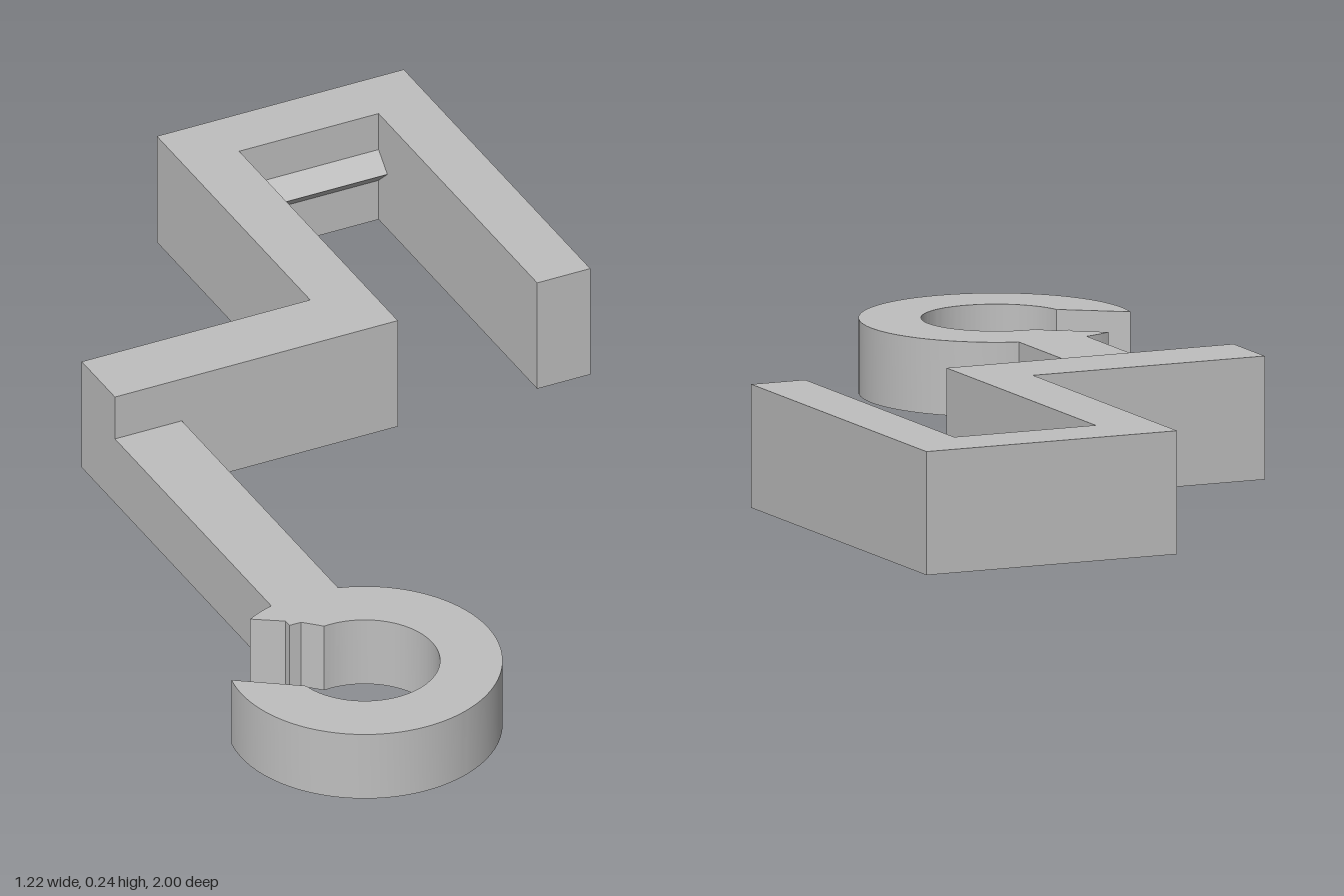
import * as THREE from 'three';
import { toCreasedNormals } from 'three/addons/utils/BufferGeometryUtils.js';

// Extrude a plan outline (x, z) upward from y = 0
function extrudePlan(shape, height) {
  const geo = new THREE.ExtrudeGeometry(shape, { depth: height, bevelEnabled: false, curveSegments: 64 });
  geo.rotateX(Math.PI / 2);
  geo.translate(0, height, 0);
  return toCreasedNormals(geo, 0.5);
}

export function createModel() {
  const group = new THREE.Group();
  const grey = new THREE.MeshStandardMaterial({ color: 0xbfbfbf });
  grey.name = 'plain grey';

  const add = (name, geo) => {
    const mesh = new THREE.Mesh(geo, grey);
    mesh.name = name;
    group.add(mesh);
  };

  // Stepped bracket with the U-shaped clip
  const outline = [
    [-0.42, -0.34], [0.075, -0.34], [0.075, -1], [0.61, -1], [0.61, -0.197],
    [0.495, -0.197], [0.495, -0.88], [0.193, -0.88], [0.193, -0.197], [-0.42, -0.197],
  ].map(([x, z]) => new THREE.Vector2(x, z));
  add('bracket', extrudePlan(new THREE.Shape(outline), 0.243));

  // Arm running into an open ring, cut by a slanted slot
  const cx = -0.347, cz = 0.733, R = 0.267, r = 0.146;
  const hook = new THREE.Shape();
  hook.moveTo(-0.42, -0.197);
  hook.lineTo(-0.275, -0.197);
  hook.absarc(cx, cz, R, -1.298, 3.34, false);
  hook.absarc(cx, cz, r, 2.93, -1.67, true);
  hook.lineTo(-0.395, 0.555);
  hook.lineTo(-0.42, 0.555);
  hook.lineTo(-0.42, 0.538);
  hook.absarc(cx, cz, R, -2.084, -1.848, false);
  hook.closePath();
  add('armAndRing', extrudePlan(hook, 0.147));

  // Triangular catch ridge inside the clip
  const ridge = new THREE.Shape([
    new THREE.Vector2(0.885, 0.085), new THREE.Vector2(0.885, 0.165), new THREE.Vector2(0.842, 0.125),
  ]);
  const ridgeGeo = new THREE.ExtrudeGeometry(ridge, { depth: 0.302, bevelEnabled: false });
  ridgeGeo.rotateY(Math.PI / 2);
  ridgeGeo.translate(0.193, 0, 0);
  add('catchRidge', ridgeGeo);

  return group;
}
